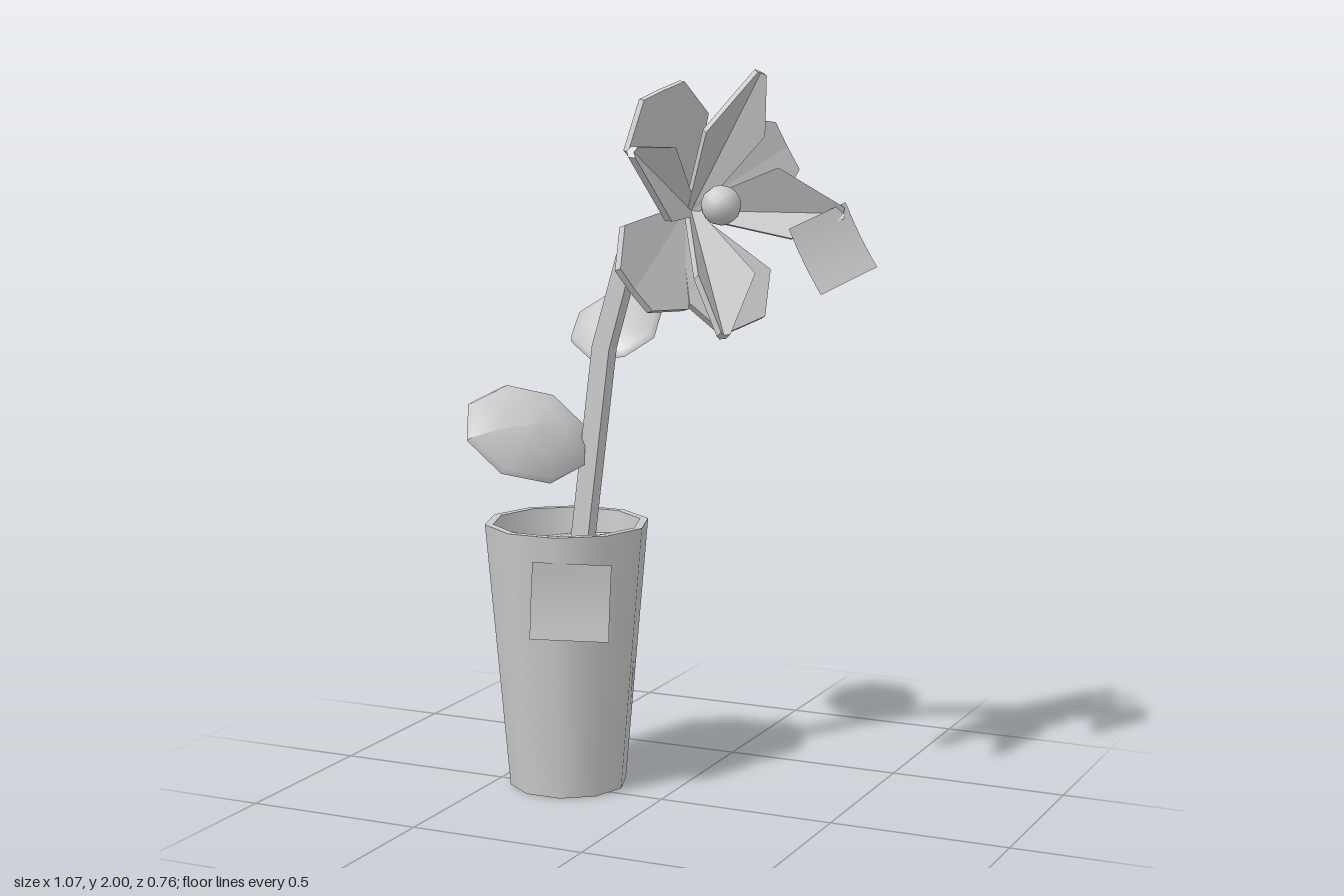
import * as THREE from 'three';

const V = (x, y, z) => new THREE.Vector3(x, y, z);
const smooth = new THREE.MeshStandardMaterial({ color: 0xcccccc, side: THREE.DoubleSide });
const flat = new THREE.MeshStandardMaterial({ color: 0xcccccc, side: THREE.DoubleSide, flatShading: true });

function add(parent, name, geometry, material = flat) {
  const mesh = new THREE.Mesh(geometry, material);
  mesh.name = name;
  parent.add(mesh);
  return mesh;
}

// Lathe from [radius, y] pairs, with a corner on the x axis
function lathe(profile, sides) {
  return new THREE.LatheGeometry(profile.map(p => new THREE.Vector2(...p)), sides, Math.PI / 2);
}

// Slab of even thickness from a closed 2D outline
function slab(outline, depth) {
  const shape = new THREE.Shape(outline.map(p => new THREE.Vector2(...p)));
  const g = new THREE.ExtrudeGeometry(shape, { depth, bevelEnabled: false });
  return g.translate(0, 0, -depth / 2);
}

// Ten-sided tapered pot, walls kept apart so that the rim stays sharp
function makePot() {
  const pot = new THREE.Group();
  pot.name = 'pot';
  add(pot, 'potWall', lathe([[0.165, 0], [0.23, 0.75]], 10), smooth);
  add(pot, 'potRim', lathe([[0.23, 0.75], [0.207, 0.75]], 10));
  add(pot, 'potInside', lathe([[0.207, 0.75], [0.198, 0.64]], 10), smooth);
  add(pot, 'potBase', lathe([[0, 0], [0.165, 0]], 10));

  // Lumpy soil
  const soil = new THREE.RingGeometry(0.001, 0.2, 10, 2).rotateX(-Math.PI / 2);
  const p = soil.attributes.position;
  for (let i = 0; i < p.count; i++) {
    const x = p.getX(i), z = p.getZ(i);
    p.setY(i, 0.685 + 0.025 * Math.sin(x * 30 + 1) * Math.cos(z * 27));
  }
  soil.computeVertexNormals();
  add(pot, 'soil', soil, smooth);
  pot.position.set(-0.31, 0, -0.045);
  return pot;
}

// Square stem: a bent strip, extruded across z
function makeStem() {
  const path = [[-0.262, 0.62], [-0.183, 1.25], [-0.113, 1.49], [0.06, 1.63]].map(p => new THREE.Vector2(...p));
  const left = [], right = [];
  path.forEach((p, i) => {
    const before = path[Math.max(i - 1, 0)], after = path[Math.min(i + 1, path.length - 1)];
    const d = after.clone().sub(before).normalize().multiplyScalar(0.026);
    left.push([p.x - d.y, p.y + d.x]);
    right.unshift([p.x + d.y, p.y - d.x]);
  });
  return slab([...left, ...right], 0.05);
}

// Eight-sided leaf, flat below and domed above; along and across are its full extents
function makeLeaf(name, centre, along, across, height) {
  const leaf = new THREE.Group();
  leaf.name = name;
  const dome = lathe([[1, 0], [0.95, 0.3], [0.55, 0.85], [0, 1]], 8);
  const under = lathe([[0, 0], [1, 0]], 8);
  const up = across.clone().cross(along).normalize().multiplyScalar(height);
  const m = new THREE.Matrix4().makeBasis(
    along.clone().multiplyScalar(0.54), up, across.clone().multiplyScalar(0.54)).setPosition(centre);
  for (const g of [dome, under]) g.rotateY(Math.PI / 8).applyMatrix4(m);
  dome.computeVertexNormals();
  add(leaf, 'leafTop', dome, smooth);
  add(leaf, 'leafUnderside', under);
  return leaf;
}

// Thin square card with a slight bend from top to bottom
function makeCard(centre, across, down, bend) {
  const g = new THREE.PlaneGeometry(1, 1, 1, 6);
  const normal = across.clone().cross(down).normalize();
  const p = g.attributes.position;
  for (let i = 0; i < p.count; i++) {
    const y = p.getY(i);
    const q = centre.clone().addScaledVector(across, p.getX(i)).addScaledVector(down, y)
      .addScaledVector(normal, bend * (1 - 4 * y * y));
    p.setXYZ(i, q.x, q.y, q.z);
  }
  g.computeVertexNormals();
  return g;
}

// Half a petal from its edge, folded up from the centre line by fold
function petalHalf(edge, fold) {
  const g = slab([[0, 0], ...edge, [edge.at(-1)[0], 0]], 0.02);
  const p = g.attributes.position;
  for (let i = 0; i < p.count; i++) p.setZ(i, p.getZ(i) + fold * Math.abs(p.getY(i)));
  return g;
}

// Two rings of four petals around a round centre; local z is the facing direction
function makeFlower() {
  const flower = new THREE.Group();
  flower.name = 'flower';
  const rings = [
    { name: 'backPetal', lift: 0.005, pitch: 0.29, fold: 0.06, turns: [0, 81, 184, 251],
      edges: [[[0, 0.02], [0.235, 0.16], [0.345, 0.075]], [[0, -0.02], [0.235, -0.13], [0.345, -0.07]]] },
    { name: 'frontPetal', lift: 0.03, pitch: 0.54, fold: 0.55, turns: [37, 116, 214, 312],
      edges: [[[0, 0.015], [0.23, 0.11], [0.415, 0.015]], [[0, -0.015], [0.27, -0.075], [0.415, -0.015]]] },
  ];
  for (const { name, lift, pitch, fold, turns, edges } of rings) {
    const halves = edges.map(e => petalHalf(e, fold).rotateY(-pitch).translate(0, 0, lift));
    for (const turn of turns) {
      for (const half of halves) add(flower, name, half).rotation.z = -THREE.MathUtils.degToRad(turn);
    }
  }
  add(flower, 'flowerCentre', new THREE.SphereGeometry(0.053, 12, 8), smooth).position.z = 0.172;

  const facing = V(0.865, 0.17, 0.473).normalize();
  const side = facing.clone().cross(V(-0.298, 0.935, 0.194)).normalize();
  const up = side.clone().cross(facing);
  flower.quaternion.setFromRotationMatrix(new THREE.Matrix4().makeBasis(up, side, facing));
  flower.position.set(0.05, 1.625, -0.02);
  return flower;
}

export function createModel() {
  const model = new THREE.Group();
  model.name = 'pottedFlower';
  model.add(makePot());
  add(model, 'stem', makeStem()).position.z = -0.025;
  model.add(makeLeaf('lowerLeaf', V(-0.355, 1.015, 0.105), V(-0.23, 0.09, 0.25), V(-0.08, 0.21, -0.17), 0.06));
  model.add(makeLeaf('upperLeaf', V(-0.245, 1.275, -0.23), V(-0.08, 0.13, -0.29), V(0.27, 0.03, 0.03), 0.065));
  model.add(makeFlower());
  // Cards on the pot and beside the flower
  add(model, 'potCard', makeCard(V(-0.2, 0.572, 0.155), V(0.185, -0.015, -0.11), V(0, 0.21, -0.02), -0.008), smooth);
  add(model, 'flowerCard', makeCard(V(0.44, 1.535, -0.13), V(0.09, 0.06, -0.18), V(0.09, -0.17, -0.005), 0.006), smooth);
  return model;
}
